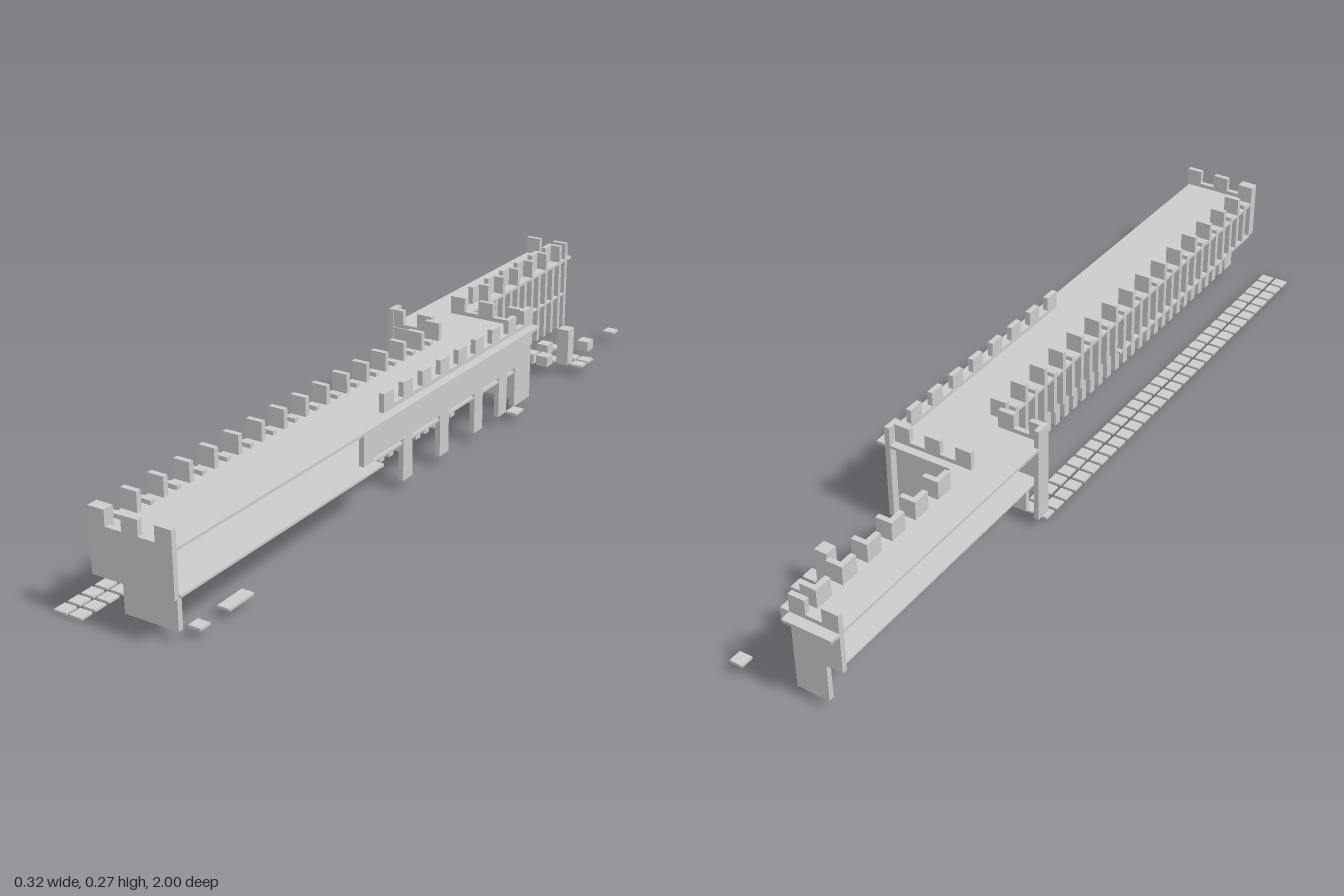
import * as THREE from 'three';

export function createModel() {
  const model = new THREE.Group();
  model.name = 'ruinedCastleWall';
  const stone = new THREE.MeshStandardMaterial({ color: 0xcccccc });
  stone.name = 'pale stone';

  // Box given by its limits on each axis
  const box = (name, x0, x1, y0, y1, z0, z1) => {
    const m = new THREE.Mesh(new THREE.BoxGeometry(x1 - x0, y1 - y0, z1 - z0), stone);
    m.position.set((x0 + x1) / 2, (y0 + y1) / 2, (z0 + z1) / 2);
    m.name = name;
    model.add(m);
  };
  const BASE = 0.027, MID = 0.12, DECK = 0.22, LOW = 0.23, TOP = 0.265, T = 0.013;

  // Walkways and the floors beneath them
  box('mainDeck', -0.04, 0.155, 0.213, DECK, -0.44, 1);
  box('rearDeck', -0.16, -0.04, 0.213, DECK, -1, -0.24);
  box('frontFloor', -0.04, 0.158, 0.116, 0.122, 0.28, 0.98);
  box('middleFloor', 0, 0.13, 0.116, 0.122, -0.41, 0.28);
  box('rearFloor', -0.148, -0.04, 0.118, 0.122, -0.96, -0.26);

  // Front end wall with three merlons
  box('frontUpperWall', -0.04, 0.16, MID, LOW, 1 - T, 1);
  for (const x of [-0.04, 0.04, 0.12]) box('frontMerlon', x, x + 0.04, LOW, TOP, 1 - T, 1);
  box('frontLowerWall', 0, 0.132, BASE, MID, 0.947, 0.96);
  box('frontLowerCorner', 0, T, BASE, MID, 0.92, 0.947);

  // Left side: upper fins carry a merlon on every other one, lower fins are set back
  for (let i = 0; i < 31; i++) {
    const z = 0.987 - i * 0.04;
    box('upperFin', -0.04, 0, MID, i % 2 ? LOW : TOP, z - T, z);
    if (i > 0) box('lowerFin', 0, 0.035, BASE, MID, z - 0.02, z);
  }

  // Right side wall with four openings
  const wx0 = 0.119, wx1 = 0.132;
  box('rightWall', wx0, wx1, 0.13, 0.213, -0.44, 0.32);
  box('rightWallEnd', wx0, wx1, MID, 0.13, 0.28, 0.32);
  for (const z of [0.12, -0.04, -0.2, -0.32]) box('rightPillar', wx0, wx1, BASE, 0.13, z, z + 0.04);
  box('rightCornerWall', wx0, wx1, BASE, 0.13, -0.44, -0.36);
  box('rightParapet', wx0, wx1, DECK, LOW, -0.44, 0.24);
  for (let i = 0; i < 9; i++) {
    const z = 0.24 - i * 0.08;
    box('rightMerlon', wx0, wx1, LOW, TOP, z - 0.04, z);
  }

  // Back wall of the main section
  box('mainBackWall', -0.04, 0.119, BASE, 0.213, -0.42, -0.407);
  box('mainBackParapet', -0.08, 0.119, DECK, LOW, -0.42, -0.407);
  for (const x of [-0.08, 0, 0.08]) box('mainBackMerlon', x, x + 0.04, LOW, TOP, -0.42, -0.407);

  // Front face of the rear section, with its corner post
  box('innerUpperWall', -0.148, -0.04, MID, 0.213, -0.256, -0.243);
  box('innerLowerWall', -0.12, 0, BASE, MID, -0.27, -0.257);
  box('innerParapet', -0.12, -0.04, DECK, LOW, -0.256, -0.243);
  box('innerMerlon', -0.08, -0.04, LOW, TOP, -0.256, -0.243);
  box('innerMerlon', -0.148, -0.12, DECK, TOP, -0.256, -0.243);
  box('cornerPost', -0.16, -0.148, BASE, TOP, -0.28, -0.24);

  // Rear section fins, with angled merlons on the walkway
  for (let i = 0; i < 13; i++) {
    const z = -0.94 + i * 0.04;
    box('rearFin', -0.08, -0.04, BASE, 0.213, z, z + T);
  }
  for (let i = 0; i < 6; i++) {
    const z = -0.94 + i * 0.08;
    box('rearMerlonFace', -0.08, -0.04, DECK, TOP, z, z + T);
    box('rearMerlonSide', -0.08, -0.067, DECK, TOP, z + T, z + 0.045);
  }

  // Back end wall
  box('endWall', -0.12, -0.04, BASE, 0.213, -0.975, -0.962);
  box('endUpperWall', -0.16, -0.12, MID, 0.213, -0.975, -0.962);
  box('endParapet', -0.16, -0.04, DECK, LOW, -0.975, -0.962);
  for (const x of [-0.16, -0.08]) box('endMerlon', x, x + 0.04, LOW, TOP, -0.975, -0.962);

  // Double row of paving tiles
  for (let i = 0; i < 31; i++) {
    const z = 0.975 - i * 0.04;
    for (const x of [-0.141, -0.101]) box('pavingTile', x - 0.016, x + 0.016, 0, 0.005, z - 0.016, z + 0.016);
  }

  // Door slabs
  box('doorSlab', 0.13, 0.16, 0.022, 0.028, 0.76, 0.84);
  box('doorSlab', 0.13, 0.16, 0.022, 0.028, 0.9, 0.93);
  box('doorSlab', 0.13, 0.16, 0.022, 0.028, -0.36, -0.32);
  box('doorSlab', -0.08, -0.04, 0.022, 0.027, -0.36, -0.32);

  // Scattered rubble: x, z, top height
  const rubble = [
    [0.1, -0.98, 0.034], [0.1, -0.82, 0.055], [0.02, -0.78, 0.034], [0.02, -0.74, 0.055],
    [0.1, -0.74, 0.034], [0.14, -0.74, 0.034], [0.06, -0.7, 0.034], [0.1, -0.7, 0.125],
    [0.14, -0.7, 0.034], [0.02, -0.66, 0.055], [0.06, -0.66, 0.055],
  ];
  for (const [x, z, top] of rubble) box('rubbleBlock', x - 0.016, x + 0.016, 0.028, top, z - 0.016, z + 0.016);

  return model;
}
